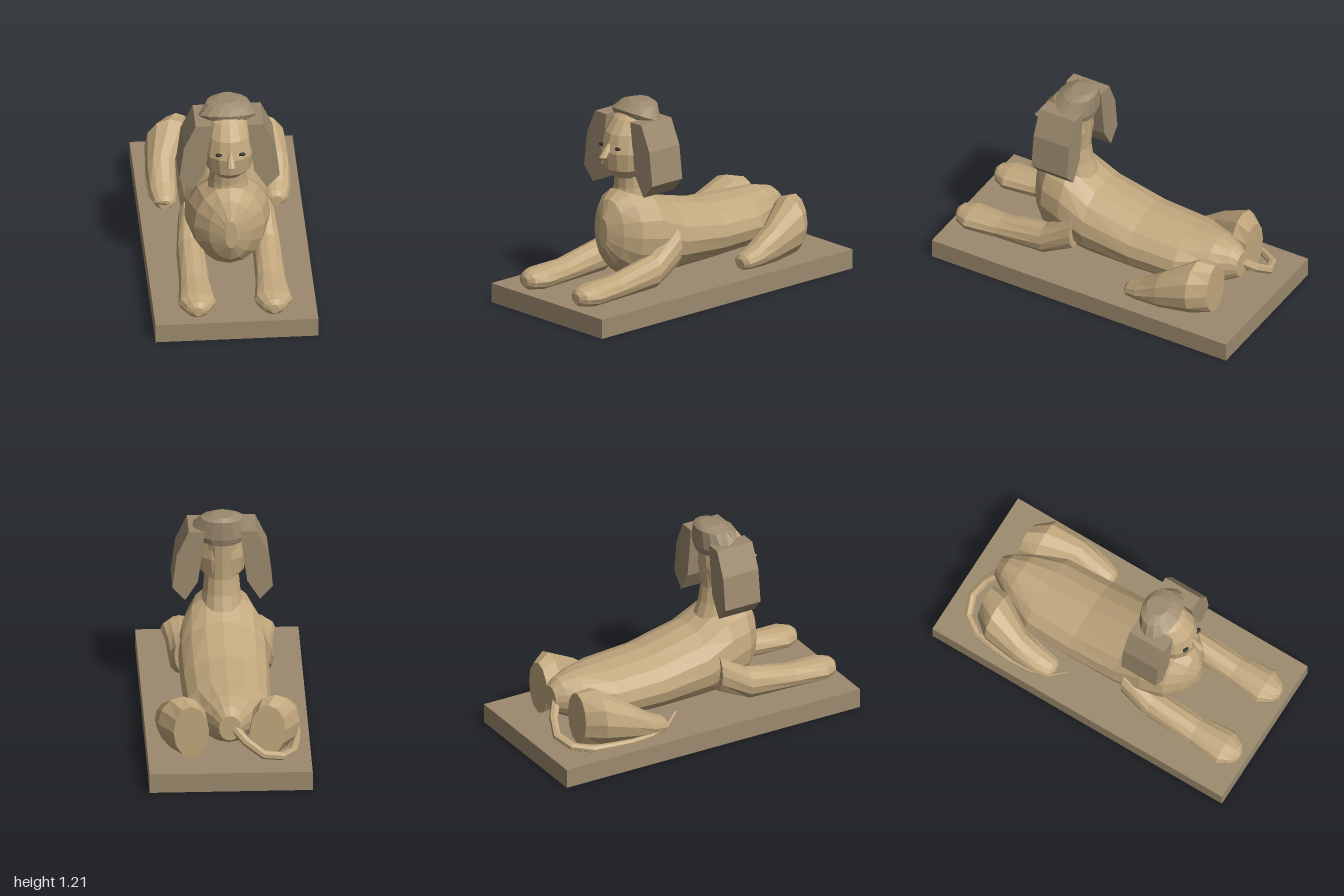
import * as THREE from 'three';

const stone = new THREE.MeshStandardMaterial({ color: 0xc2a87e, flatShading: true });
const darkStone = new THREE.MeshStandardMaterial({ color: 0x9c8a6e, flatShading: true });
const black = new THREE.MeshStandardMaterial({ color: 0x2e2922, flatShading: true });

// Closed skin over elliptical rings [x, y, z, rx, r2], listed in rising order along the axis.
function loft(rings, sides, axis = 'z') {
  const pos = [], index = [];
  for (const [x, y, z, a, b] of rings) {
    for (let i = 0; i < sides; i++) {
      const t = (i / sides) * Math.PI * 2, c = Math.cos(t), s = Math.sin(t);
      if (axis === 'z') pos.push(x + a * c, y + b * s, z);
      else pos.push(x + a * s, y, z + b * c);
    }
  }
  for (let r = 0; r < rings.length - 1; r++) {
    for (let i = 0; i < sides; i++) {
      const j = (i + 1) % sides, p = r * sides, q = p + sides;
      index.push(p + i, p + j, q + j, p + i, q + j, q + i);
    }
  }
  // End caps
  const last = (rings.length - 1) * sides;
  for (let i = 1; i < sides - 1; i++) {
    index.push(0, i + 1, i, last, last + i, last + i + 1);
  }
  const geo = new THREE.BufferGeometry();
  geo.setAttribute('position', new THREE.Float32BufferAttribute(pos, 3));
  geo.setIndex(index);
  geo.computeVertexNormals();
  return geo;
}

// Tube that narrows from full radius at its start to `end` of it at the tip.
function taperedTube(points, segments, radius, sides, end) {
  const curve = new THREE.CatmullRomCurve3(points.map(p => new THREE.Vector3(...p)));
  const geo = new THREE.TubeGeometry(curve, segments, radius, sides);
  const pos = geo.attributes.position, v = new THREE.Vector3();
  for (let i = 0; i < pos.count; i++) {
    const t = Math.floor(i / (sides + 1)) / segments;
    const c = curve.getPointAt(t);
    v.fromBufferAttribute(pos, i).sub(c).multiplyScalar(1 + (end - 1) * t * t).add(c);
    pos.setXYZ(i, v.x, v.y, v.z);
  }
  return geo;
}

export function createModel() {
  const model = new THREE.Group();
  const add = (name, geo, mat = stone) => {
    const mesh = new THREE.Mesh(geo, mat);
    mesh.name = name;
    model.add(mesh);
    return mesh;
  };

  add('plinth', new THREE.BoxGeometry(0.96, 0.118, 2).translate(0, 0.059, 0), darkStone);

  // Body from rump to chest: [z, bottom, top, half width]
  const body = [
    [-0.83, 0.25, 0.41, 0.065], [-0.78, 0.22, 0.45, 0.1], [-0.68, 0.17, 0.475, 0.165],
    [-0.5, 0.145, 0.48, 0.25], [-0.2, 0.135, 0.5, 0.262], [0.11, 0.13, 0.58, 0.265],
    [0.28, 0.125, 0.69, 0.25], [0.42, 0.16, 0.69, 0.21], [0.5, 0.235, 0.64, 0.13],
    [0.55, 0.345, 0.53, 0.035],
  ].map(([z, lo, hi, w]) => [0, (lo + hi) / 2, z, w, (hi - lo) / 2]);
  add('body', loft(body, 16));

  add('neck', loft([
    [0, 0.6, 0.3, 0.13, 0.14], [0, 0.7, 0.31, 0.112, 0.115],
    [0, 0.8, 0.32, 0.103, 0.11], [0, 1.06, 0.29, 0.1, 0.1],
  ], 14, 'y'));

  add('head', loft([
    [0, 0.762, 0.36, 0.08, 0.08], [0, 0.822, 0.36, 0.135, 0.145],
    [0, 0.93, 0.36, 0.153, 0.16], [0, 1.04, 0.35, 0.135, 0.14],
    [0, 1.12, 0.33, 0.11, 0.1], [0, 1.15, 0.32, 0.07, 0.07],
  ], 14, 'y'));

  add('nose', loft([
    [0, 0.895, 0.545, 0.014, 0.012], [0, 0.91, 0.55, 0.025, 0.025],
    [0, 0.94, 0.525, 0.022, 0.025], [0, 0.985, 0.497, 0.008, 0.014],
  ], 8, 'y'));

  // Cap whose lower rim slopes down towards the back
  const cap = loft([
    [0, 1.075, 0.285, 0.15, 0.105], [0, 1.12, 0.285, 0.178, 0.115],
    [0, 1.19, 0.265, 0.125, 0.095], [0, 1.21, 0.258, 0.06, 0.065],
  ], 16, 'y');
  const cp = cap.attributes.position;
  for (let i = 0; i < 32; i++) cp.setY(i, cp.getY(i) + (cp.getZ(i) - 0.285) * 0.4);
  cap.computeVertexNormals();
  add('headdressCap', cap, darkStone);

  // Headdress side panels
  const panel = [[0.105, 1.125], [0.2, 1.125], [0.27, 0.975], [0.296, 0.77],
    [0.22, 0.685], [0.145, 0.805], [0.125, 0.95]];

  for (const [side, s] of [['left', 1], ['right', -1]]) {
    const mirror = rings => rings.map(([x, ...rest]) => [x * s, ...rest]);

    const shape = new THREE.Shape(panel.map(([x, y]) => new THREE.Vector2(x * s, y)));
    add(side + 'HeaddressPanel',
      new THREE.ExtrudeGeometry(shape, { depth: 0.24, bevelEnabled: false }).translate(0, 0, 0.19),
      darkStone);

    const eye = add(side + 'Eye', new THREE.SphereGeometry(1, 10, 6), black);
    eye.scale.set(0.021, 0.01, 0.014);
    eye.position.set(0.069 * s, 0.963, 0.496);

    add(side + 'FrontLeg', loft(mirror([
      [0.215, 0.335, 0.18, 0.07, 0.125], [0.225, 0.22, 0.37, 0.085, 0.1],
      [0.225, 0.187, 0.67, 0.09, 0.069], [0.225, 0.183, 0.87, 0.112, 0.065],
      [0.225, 0.18, 0.945, 0.07, 0.052], [0.225, 0.178, 0.97, 0.025, 0.03],
    ]), 12));

    add(side + 'HindLeg', loft(mirror([
      [0.225, 0.285, -0.78, 0.105, 0.165], [0.27, 0.295, -0.68, 0.147, 0.177],
      [0.335, 0.235, -0.48, 0.092, 0.118], [0.335, 0.185, -0.34, 0.083, 0.067],
      [0.33, 0.165, -0.26, 0.065, 0.046], [0.33, 0.157, -0.24, 0.035, 0.03],
    ]), 12));
  }

  // Tail curling round the right hind leg
  add('tail', taperedTube([
    [-0.02, 0.33, -0.8], [-0.17, 0.2, -0.9], [-0.34, 0.15, -0.83], [-0.4, 0.145, -0.62],
    [-0.41, 0.145, -0.42], [-0.385, 0.16, -0.27], [-0.32, 0.215, -0.16],
  ], 9, 0.028, 7, 0.2));

  return model;
}
